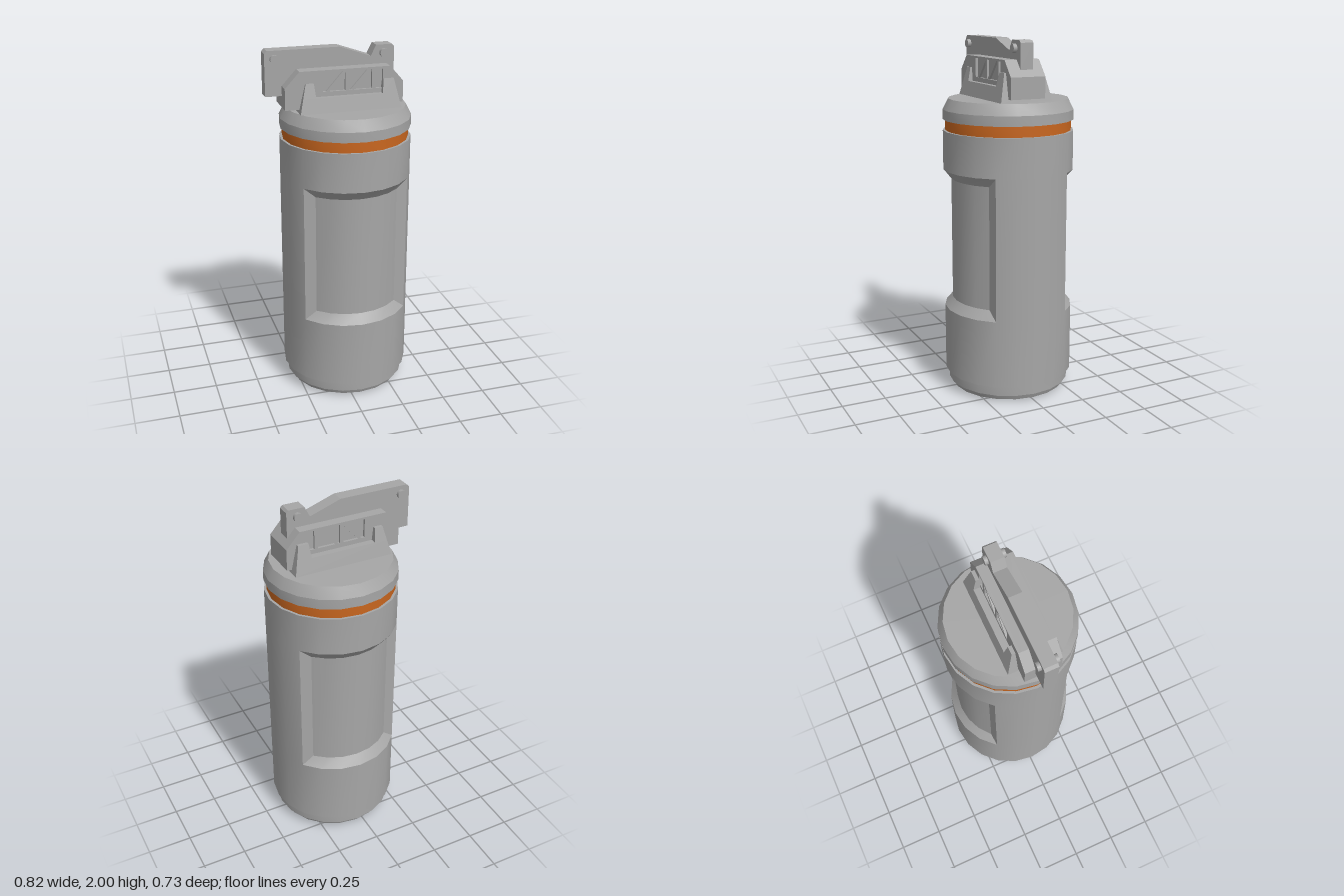
import * as THREE from 'three';
import { toCreasedNormals } from 'three/addons/utils/BufferGeometryUtils.js';

const SIDES = 20, STEP = (Math.PI * 2) / SIDES;
const AXIS_X = 0.047; // the canister axis sits a little to the left of the lever's centre
const R = 0.366, R_IN = 0.323;

export function createModel() {
  const model = new THREE.Group();
  model.name = 'canister';
  const grey = new THREE.MeshStandardMaterial({ color: 0xa6a6a6 });
  grey.name = 'grey metal';
  const orange = new THREE.MeshStandardMaterial({ color: 0xc8661f });
  orange.name = 'orange band';

  const add = (name, geometry, material = grey) => {
    const mesh = new THREE.Mesh(geometry, material);
    mesh.name = name;
    model.add(mesh);
    return mesh;
  };
  const turned = (name, points, material) => {
    const profile = points.map(([r, y]) => new THREE.Vector2(r, y));
    const geo = toCreasedNormals(new THREE.LatheGeometry(profile, SIDES), 0.4);
    add(name, geo, material).position.x = AXIS_X;
  };
  const plate = (name, outline, z0, z1, hole) => {
    const shape = new THREE.Shape(outline.map(([x, y]) => new THREE.Vector2(x, y)));
    if (hole) shape.holes.push(new THREE.Path(hole.map(([x, y]) => new THREE.Vector2(x, y))));
    const geo = new THREE.ExtrudeGeometry(shape, { depth: z1 - z0, bevelEnabled: false });
    add(name, geo.translate(0, 0, z0));
  };
  // Tapered block between two rectangles given as [x0, x1, z0, z1]
  const taper = (name, y0, bottom, y1, top) => {
    const geo = new THREE.BoxGeometry(1, 1, 1).toNonIndexed();
    const p = geo.attributes.position;
    for (let i = 0; i < p.count; i++) {
      const up = p.getY(i) > 0, rect = up ? top : bottom;
      p.setXYZ(i, rect[p.getX(i) > 0 ? 1 : 0], up ? y1 : y0, rect[p.getZ(i) > 0 ? 3 : 2]);
    }
    geo.computeVertexNormals();
    add(name, geo);
  };

  // Stepped foot, ledge under the band, band and chamfered cap
  turned('foot', [[0, 0], [0.275, 0], [0.275, 0.012], [0.325, 0.012], [0.337, 0.042],
    [0.347, 0.042], [0.347, 0.1], [R, 0.1]]);
  turned('bodyLedge', [[R, 1.5], [0.352, 1.5]]);
  turned('band', [[0.352, 1.5], [0.352, 1.56]], orange);
  turned('cap', [[0.35, 1.56], [R, 1.56], [R, 1.615], [0.335, 1.675], [0, 1.675]]);

  // Body with a sunken panel at the front and at the back
  add('body', bodyGeometry()).position.x = AXIS_X;

  // Mounting base: tapered block with a post at each end
  taper('mountBase', 1.674, [-0.247, 0.315, -0.135, 0.17], 1.755, [-0.228, 0.297, -0.116, 0.152]);
  for (const [low, high] of [[[-0.228, -0.157], [-0.21, -0.165]], [[0.214, 0.297], [0.222, 0.28]]]) {
    taper('mountPost', 1.755, [...low, -0.116, 0.152], 1.83, [...high, -0.098, 0.135]);
  }

  // Housing: solid core with a windowed plate on each side
  const housing = [[-0.32, 1.693], [0.338, 1.693], [0.338, 1.81], [0.262, 1.896], [-0.24, 1.896], [-0.32, 1.81]];
  const windowHole = [[-0.113, 1.78], [-0.113, 1.885], [0.222, 1.885], [0.222, 1.78]];
  const strut = (x0, x1) => [[x0 - 0.01, 1.78], [x0 + 0.01, 1.78], [x1 + 0.01, 1.885], [x1 - 0.01, 1.885]];
  plate('housingCore', housing, -0.063, 0.11);
  for (const [z0, z1] of [[0.11, 0.125], [-0.078, -0.063]]) {
    plate('housingSide', housing, z0, z1, windowHole);
    for (const [x0, x1] of [[-0.085, 0.01], [0.022, 0.022], [0.05, 0.145], [0.17, 0.17]]) {
      plate('windowStrut', strut(x0, x1), z0, z1 - 0.003);
    }
  }

  // Lever with a raised lug, and the two cross pins
  plate('lever', [[-0.41, 1.756], [-0.3, 1.756], [-0.2, 1.8], [0.24, 1.8], [0.307, 1.84], [0.307, 1.985],
    [0.295, 1.998], [0.205, 1.998], [0.175, 1.94], [0, 2], [-0.395, 2], [-0.41, 1.985]], -0.021, 0.054);
  for (const x of [-0.358, 0.247]) {
    const pin = new THREE.CylinderGeometry(0.024, 0.024, 0.115, 12).rotateX(Math.PI / 2);
    add('pin', pin).position.set(x, 1.955, 0.0175);
  }
  return model;
}

// Twenty-sided wall; each panel spans six sides and has sloping borders
function bodyGeometry() {
  const data = [];
  const at = (angle, r, y) => [r * Math.sin(angle), y, r * Math.cos(angle)];
  const quad = (a, b, c, d) => data.push(...a, ...b, ...c, ...a, ...c, ...d);
  const wall = (a, b, r0, y0, r1, y1, c = a, d = b) =>
    quad(at(a, r0, y0), at(b, r0, y0), at(d, r1, y1), at(c, r1, y1));
  const [low, lowIn, highIn, high] = [0.483, 0.535, 1.228, 1.28];

  for (let k = -3; k < SIDES - 3; k++) {
    const a = k * STEP, b = (k + 1) * STEP;
    wall(a, b, R, 0.1, R, low);
    wall(a, b, R, high, R, 1.5);
    const centre = k < 3 ? 0 : 10, place = k - centre;
    if (place < -3 || place > 2) {
      wall(a, b, R, low, R, high);
      continue;
    }
    const inner = (angle) => centre * STEP + (angle - centre * STEP) * (46 / 54);
    const ia = inner(a), ib = inner(b);
    wall(a, b, R, low, R_IN, lowIn, ia, ib);
    wall(ia, ib, R_IN, lowIn, R_IN, highIn);
    wall(ia, ib, R_IN, highIn, R, high, a, b);
    if (place === -3) quad(at(a, R, low), at(ia, R_IN, lowIn), at(ia, R_IN, highIn), at(a, R, high));
    if (place === 2) quad(at(ib, R_IN, lowIn), at(b, R, low), at(b, R, high), at(ib, R_IN, highIn));
  }
  const geo = new THREE.BufferGeometry();
  geo.setAttribute('position', new THREE.Float32BufferAttribute(data, 3));
  return toCreasedNormals(geo, 0.4);
}
